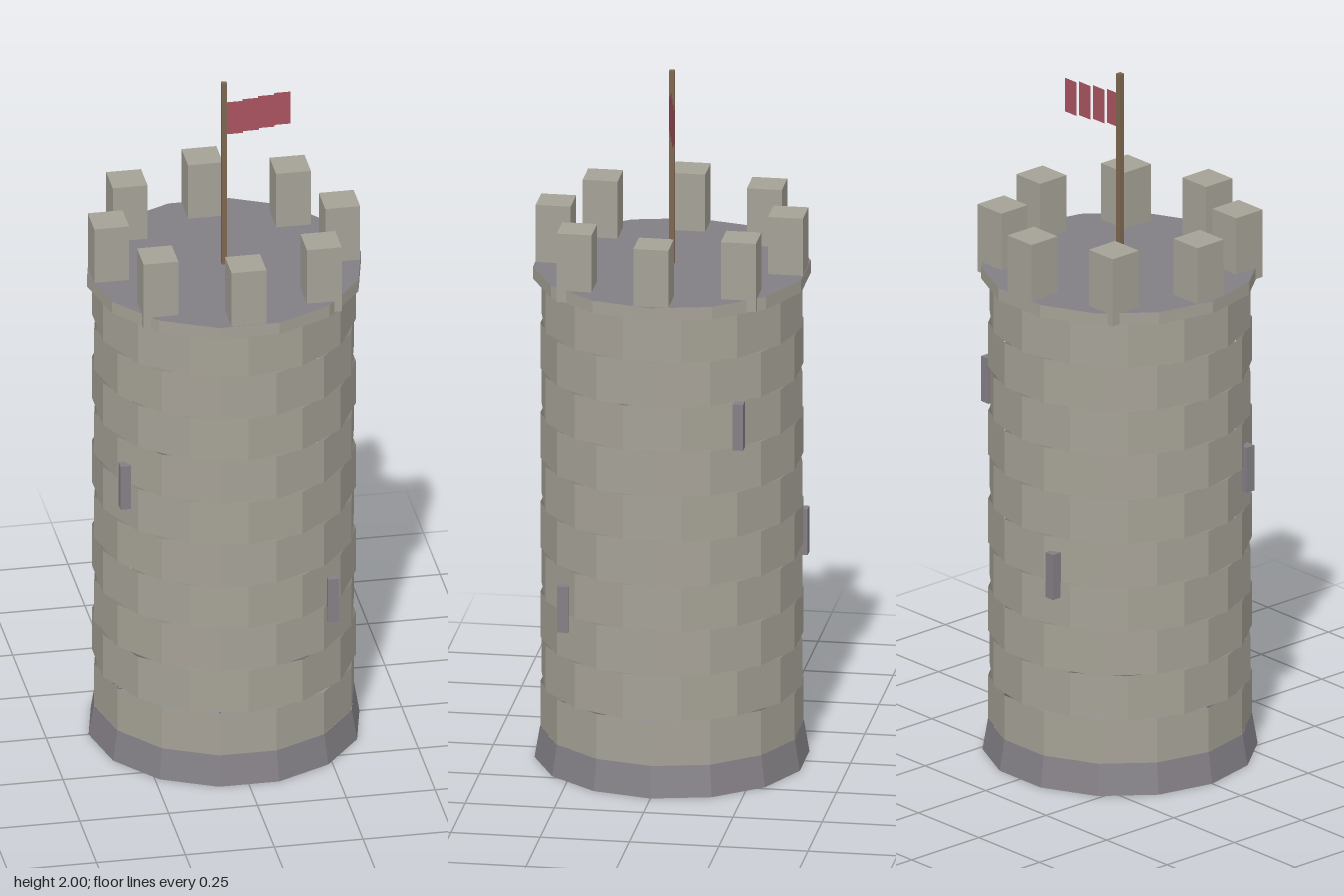
import * as THREE from 'three';

const SIDES = 14;
const HALF_STEP = Math.PI / SIDES;

function material(name, color) {
  const m = new THREE.MeshStandardMaterial({ color, flatShading: true, side: THREE.DoubleSide });
  m.name = name;
  return m;
}

export function createModel() {
  const stone = material('stone', 0xa5a196);
  const darkStone = material('darkStone', 0x837f85);
  const wood = material('wood', 0x7d6650);
  const cloth = material('cloth', 0xaa5360);

  const tower = new THREE.Group();
  tower.name = 'tower';

  const add = (name, geometry, mat, x, y, z) => {
    const mesh = new THREE.Mesh(geometry, mat);
    mesh.name = name;
    mesh.position.set(x, y, z);
    tower.add(mesh);
    return mesh;
  };

  // Ring of flat facets standing on y, open at both ends unless closed
  const ring = (name, rTop, rBottom, y, height, mat, open = true) =>
    add(name, new THREE.CylinderGeometry(rTop, rBottom, height, SIDES, 1, open), mat, 0, y + height / 2, 0);

  // Flared footing
  ring('base', 0.366, 0.381, 0, 0.09, darkStone).rotation.y = Math.PI / 2;

  // Stone courses, every other one turned by half a facet
  const courses = 10, courseHeight = 0.131;
  for (let i = 0; i < courses; i++) {
    const course = ring('course', 0.365, 0.365, 0.09 + i * courseHeight, courseHeight, stone);
    course.rotation.y = Math.PI / 2 + (i % 2) * HALF_STEP;
  }

  // Parapet slab: stone edge, dark deck on top
  ring('parapet', 0.385, 0.385, 1.4, 0.036, [stone, darkStone, stone], false).rotation.y = Math.PI / 2;

  // Battlements, all square to the axes
  const merlonGeometry = new THREE.BoxGeometry(0.098, 0.2, 0.098);
  for (let i = 0; i < 8; i++) {
    const a = (i / 8) * Math.PI * 2;
    add('merlon', merlonGeometry, stone, Math.cos(a) * 0.325, 1.503, Math.sin(a) * 0.325);
  }

  // Arrow slits: [angle, height]
  const slitGeometry = new THREE.BoxGeometry(0.03, 0.134, 0.03);
  for (const [a, y] of [[0.8, 0.5], [2.6, 0.87], [4.4, 0.635], [5.6, 1.07]]) {
    add('arrowSlit', slitGeometry, darkStone, Math.cos(a) * 0.367, y, Math.sin(a) * 0.367);
  }

  // Flagpole
  add('flagpole', new THREE.BoxGeometry(0.015, 0.6, 0.015), wood, 0, 1.7, 0);

  // Flag made of four stepped panels
  const panelWidth = 0.0465;
  const panelGeometry = new THREE.PlaneGeometry(panelWidth, 0.1);
  for (let i = 0; i < 4; i++) {
    add('flagPanel', panelGeometry, cloth, 0.007 + (i + 0.5) * panelWidth, 1.888, -0.01 * i);
  }

  return tower;
}
